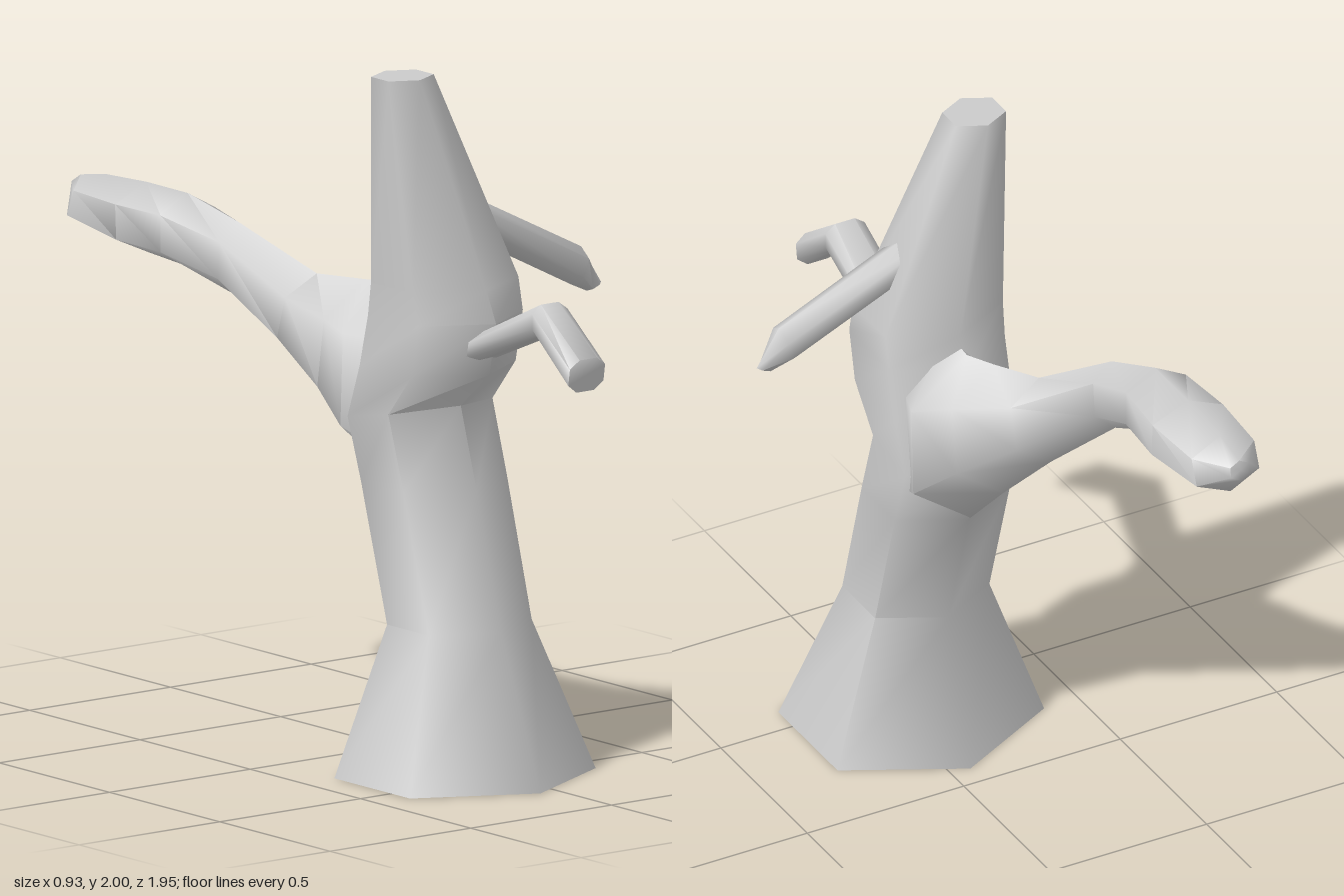
import * as THREE from 'three';
import { toCreasedNormals } from 'three/addons/utils/BufferGeometryUtils.js';

const material = new THREE.MeshStandardMaterial({ color: 0xcccccc });
const V = (x, y, z) => new THREE.Vector3(x, y, z);

// Unit cross-sections: a hexagon with corners on the first axis, and a square with chamfered corners
const hexagon = Array.from({ length: 6 }, (_, i) => {
  const t = i * Math.PI / 3;
  return [Math.cos(t), Math.sin(t) / Math.sin(Math.PI / 3)];
});
const clamp = v => Math.max(-1, Math.min(1, v * 1.3));
const roundedSquare = Array.from({ length: 8 }, (_, i) => {
  const t = (i + 0.5) * Math.PI / 4;
  return [clamp(Math.cos(t)), clamp(Math.sin(t))];
});

// Closed skin through rings; each ring has end points a and b and a half-width vector w
function loft(name, rings, section) {
  const n = section.length, pos = [], idx = [];
  const put = p => pos.push(p.x, p.y, p.z);
  const centres = rings.map(({ a, b }) => a.clone().add(b).multiplyScalar(0.5));
  rings.forEach(({ a, b, w }, i) => {
    const u = a.clone().sub(b).multiplyScalar(0.5);
    section.forEach(([s, t]) => put(centres[i].clone().addScaledVector(u, s).addScaledVector(w, t)));
  });
  for (let i = 0; i < rings.length - 1; i++) {
    for (let j = 0; j < n; j++) {
      const k = (j + 1) % n, p = i * n, q = p + n;
      idx.push(p + j, p + k, q + k, p + j, q + k, q + j);
    }
  }
  const last = rings.length - 1, c0 = rings.length * n;
  put(centres[0]);
  put(centres[last]);
  for (let j = 0; j < n; j++) {
    const k = (j + 1) % n;
    idx.push(c0, k, j, c0 + 1, last * n + j, last * n + k);
  }
  const geo = new THREE.BufferGeometry();
  geo.setAttribute('position', new THREE.Float32BufferAttribute(pos, 3));
  geo.setIndex(idx);
  const mesh = new THREE.Mesh(toCreasedNormals(geo, 1.15), material);
  mesh.name = name;
  return mesh;
}

// Ring given by two (z, y) points and its x range; dir sets the turning sense
const ringYZ = dir => ([za, ya, zb, yb, x0, x1]) => {
  const x = (x0 + x1) / 2;
  return { a: V(x, ya, za), b: V(x, yb, zb), w: V(dir * (x1 - x0) / 2, 0, 0) };
};

export function createModel() {
  const group = new THREE.Group();
  group.name = 'treeStump';

  // Trunk: flared foot, leaning stem, bulge at the front, tapering crown (front point, back point, x range)
  group.add(loft('trunk', [
    [0.755, 0, 0.07, 0, -0.39, 0.27],
    [0.58, 0.43, 0.2, 0.43, -0.245, 0.12],
    [0.47, 0.82, 0.085, 0.82, -0.248, 0.12],
    [0.4, 1.05, 0.03, 0.98, -0.25, 0.12],
    [0.53, 1.16, 0.06, 1.15, -0.25, 0.12],
    [0.56, 1.31, 0.1, 1.3, -0.25, 0.12],
    [0.52, 1.4, 0.14, 1.4, -0.255, 0.12],
    [0.4, 2, 0.24, 2, -0.29, -0.13],
  ].map(ringYZ(1)), hexagon));

  // Thick branch sweeping up and back (top point, bottom point, x range)
  group.add(loft('backBranch', [
    [0.2, 1.38, 0.2, 0.75, -0.2, 0.08],
    [0.1, 1.36, 0.078, 0.83, -0.245, 0.115],
    [0.03, 1.355, -0.03, 0.96, -0.25, 0.03],
    [-0.1, 1.36, -0.17, 1.12, -0.285, -0.085],
    [-0.3, 1.49, -0.32, 1.28, -0.37, -0.245],
    [-0.47, 1.55, -0.47, 1.34, -0.45, -0.258],
    [-0.66, 1.55, -0.65, 1.35, -0.465, -0.24],
    [-0.85, 1.54, -0.91, 1.39, -0.45, -0.25],
    [-0.96, 1.52, -0.97, 1.46, -0.38, -0.32],
  ].map(ringYZ(1)), hexagon));

  // Bent twig at the front
  group.add(loft('frontTwig', [
    [0.42, 1.235, 0.39, 1.15, -0.125, 0],
    [0.8, 1.41, 0.8, 1.32, -0.125, 0],
    [0.975, 1.28, 0.96, 1.185, -0.125, 0],
  ].map(ringYZ(-1)), roundedSquare));

  // Straight drooping twig on the left side, ending in a point
  group.add(loft('sideTwig', [
    { a: V(-0.1, 1.69, 0.33), b: V(-0.12, 1.58, 0.33), w: V(0, 0, 0.05) },
    { a: V(0.39, 1.44, 0.365), b: V(0.355, 1.335, 0.365), w: V(0, 0, 0.047) },
    { a: V(0.46, 1.33, 0.365), b: V(0.41, 1.31, 0.365), w: V(0, 0, 0.012) },
  ], hexagon));

  return group;
}
